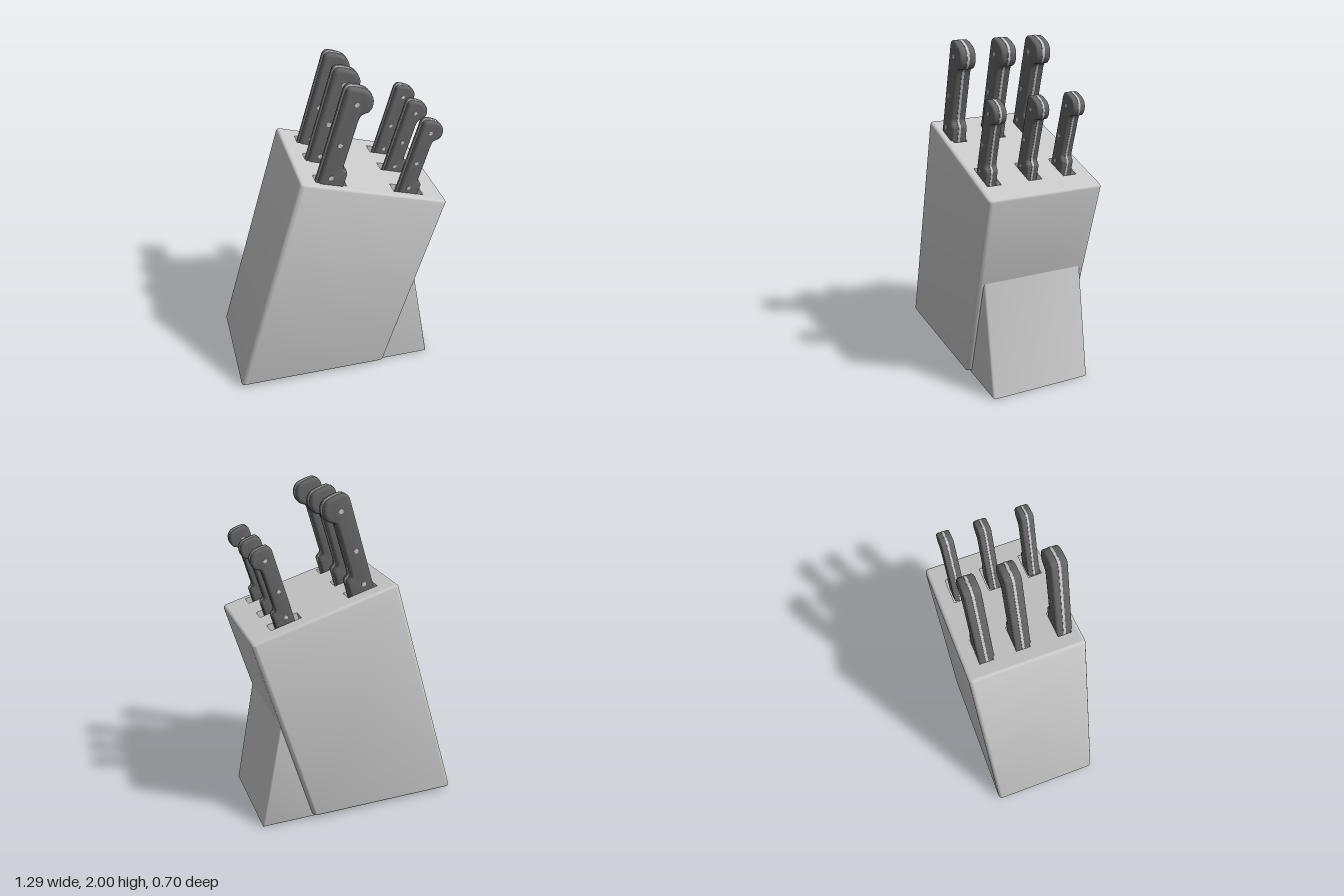
import * as THREE from 'three';
import { toCreasedNormals } from 'three/addons/utils/BufferGeometryUtils.js';

const grey = new THREE.MeshStandardMaterial({ color: 0xcccccc });
const dark = new THREE.MeshStandardMaterial({ color: 0x666666 });

const TILT = THREE.MathUtils.degToRad(16);
const TOP = new THREE.Vector2(0.21, 1.355); // centre of the sloping top face
const HALF_W = 0.457, HALF_D = 0.35, CORNER = 0.025, BEVEL = 0.018;
const ROWS = [-0.215, 0.005, 0.257];
const SLOT_DEPTH = 0.15, SLOT_WIDTH = 0.084;
// slot extents along the top, and handle position and scale, for both columns
const COLUMNS = [
  { name: 'large', from: -0.359, to: -0.172, handleX: -0.34, scale: 1 },
  { name: 'small', from: 0.125, to: 0.315, handleX: 0.161, scale: 0.787 },
];

function part(name, geometry, material) {
  const mesh = new THREE.Mesh(geometry, material);
  mesh.name = name;
  return mesh;
}

// plate centred on z = 0 with rounded edges; grow offsets the outline
function plate(shape, thickness, bevel, grow = 0) {
  const g = new THREE.ExtrudeGeometry(shape, {
    depth: thickness - 2 * bevel, bevelEnabled: true, bevelThickness: bevel,
    bevelSize: bevel, bevelOffset: grow - bevel, bevelSegments: 3, curveSegments: 6,
  });
  g.translate(0, 0, -thickness / 2 + bevel);
  return toCreasedNormals(g, 0.6);
}

// rounded rectangle in x and z, shrunk by inset
function ring(inset) {
  const pts = [], r = CORNER - inset;
  [[1, 1], [-1, 1], [-1, -1], [1, -1]].forEach(([sx, sz], q) => {
    for (let k = 0; k <= 4; k++) {
      const a = (q + k / 4) * Math.PI / 2;
      pts.push(new THREE.Vector2(
        sx * (HALF_W - CORNER) + r * Math.cos(a),
        sz * (HALF_D - CORNER) + r * Math.sin(a)));
    }
  });
  return pts;
}

// walls and base of the leaning block, base cut level with the ground
function shellGeometry() {
  const pos = [], index = [], n = 20, steps = 4;
  const floor = x => (0.02 - TOP.y + Math.sin(TILT) * x) / Math.cos(TILT);
  const loop = (a, atTop) => {
    const drop = BEVEL * (1 - Math.sin(a));
    for (const p of ring(BEVEL * (1 - Math.cos(a)))) {
      pos.push(p.x, atTop ? -drop : floor(p.x) + drop, p.y);
    }
  };
  for (let k = steps; k >= 0; k--) loop(k / steps * Math.PI / 2, false);
  for (let k = 0; k <= steps; k++) loop(k / steps * Math.PI / 2, true);
  // the bevel runs from full inset at the base out to the walls and back in
  for (let i = 0; i < 2 * steps + 1; i++) {
    for (let j = 0; j < n; j++) {
      const a = i * n + j, b = i * n + (j + 1) % n;
      index.push(a, a + n, b, b, a + n, b + n);
    }
  }
  for (let j = 1; j < n - 1; j++) index.push(0, j, j + 1);
  const g = new THREE.BufferGeometry();
  g.setAttribute('position', new THREE.Float32BufferAttribute(pos, 3));
  g.setIndex(index);
  return toCreasedNormals(g, 0.6);
}

// top face pierced by the slots
function topGeometry() {
  const shape = new THREE.Shape(ring(BEVEL));
  for (const c of COLUMNS) {
    for (const z of ROWS) {
      const h = SLOT_WIDTH / 2;
      shape.holes.push(new THREE.Path([
        new THREE.Vector2(c.from, -z - h), new THREE.Vector2(c.from, -z + h),
        new THREE.Vector2(c.to, -z + h), new THREE.Vector2(c.to, -z - h),
      ]));
    }
  }
  return new THREE.ShapeGeometry(shape).rotateX(-Math.PI / 2);
}

// open-topped pocket seen from inside
function slotGeometry(width) {
  const g = new THREE.BoxGeometry(width, SLOT_DEPTH, SLOT_WIDTH);
  const idx = Array.from(g.index.array);
  idx.splice(12, 6); // remove the lid
  g.setIndex(idx.reverse()); // turn the walls inwards
  const normals = g.attributes.normal;
  for (let i = 0; i < normals.array.length; i++) normals.array[i] *= -1;
  return g;
}

// handle outline with bolster at the base and hooked pommel
function handleShape() {
  const v = (x, y) => new THREE.Vector2(x, y);
  const s = new THREE.Shape();
  s.moveTo(0, -0.05);
  s.lineTo(0.148, -0.05);
  s.lineTo(0.148, 0.075);
  s.quadraticCurveTo(0.146, 0.09, 0.13, 0.098);
  s.quadraticCurveTo(0.112, 0.106, 0.112, 0.125);
  s.lineTo(0.112, 0.4);
  s.splineThru([v(0.116, 0.432), v(0.132, 0.45), v(0.155, 0.465), v(0.167, 0.5),
    v(0.157, 0.546), v(0.122, 0.576), v(0.06, 0.585)]);
  s.lineTo(0.03, 0.583);
  s.quadraticCurveTo(0.005, 0.58, 0, 0.55);
  s.closePath();
  return s;
}

function makeKnife() {
  const knife = new THREE.Group();
  const shape = handleShape();
  knife.add(part('handleScales', plate(shape, 0.096, 0.013), dark));
  knife.add(part('tang', plate(shape, 0.016, 0.001, 0.002), grey));
  for (const [x, y] of [[0.072, 0.5], [0.05, 0.25], [0.057, 0.044]]) {
    const rivet = part('rivet', new THREE.CylinderGeometry(0.014, 0.014, 0.101, 16), grey);
    rivet.rotation.x = Math.PI / 2;
    rivet.position.set(x, y, 0);
    knife.add(rivet);
  }
  const blade = part('blade', new THREE.BoxGeometry(0.12, 0.1, 0.012), grey);
  blade.position.set(0.07, -0.09, 0);
  knife.add(blade);
  return knife;
}

export function createModel() {
  const model = new THREE.Group();
  model.name = 'knifeBlock';

  // leaning block, built upright around the centre of its top face
  const block = new THREE.Group();
  block.name = 'block';
  block.position.set(TOP.x, TOP.y, 0);
  block.rotation.z = -TILT;
  block.add(part('blockBody', shellGeometry(), grey), part('blockTop', topGeometry(), grey));

  for (const c of COLUMNS) {
    for (const z of ROWS) {
      const slot = part('slot', slotGeometry(c.to - c.from), grey);
      slot.position.set((c.from + c.to) / 2, -SLOT_DEPTH / 2, z);
      const knife = makeKnife();
      knife.name = c.name + 'Knife';
      knife.scale.setScalar(c.scale);
      knife.position.set(c.handleX, 0, z + 0.006);
      block.add(slot, knife);
    }
  }
  model.add(block);

  // wedge foot propping the block
  const foot = new THREE.Shape([[-0.33, 0], [0.62, 0], [0.481, 0.74], [0.4, 0.74]]
    .map(([x, y]) => new THREE.Vector2(x, y)));
  model.add(part('foot', plate(foot, 0.63, 0.015), grey));
  return model;
}
